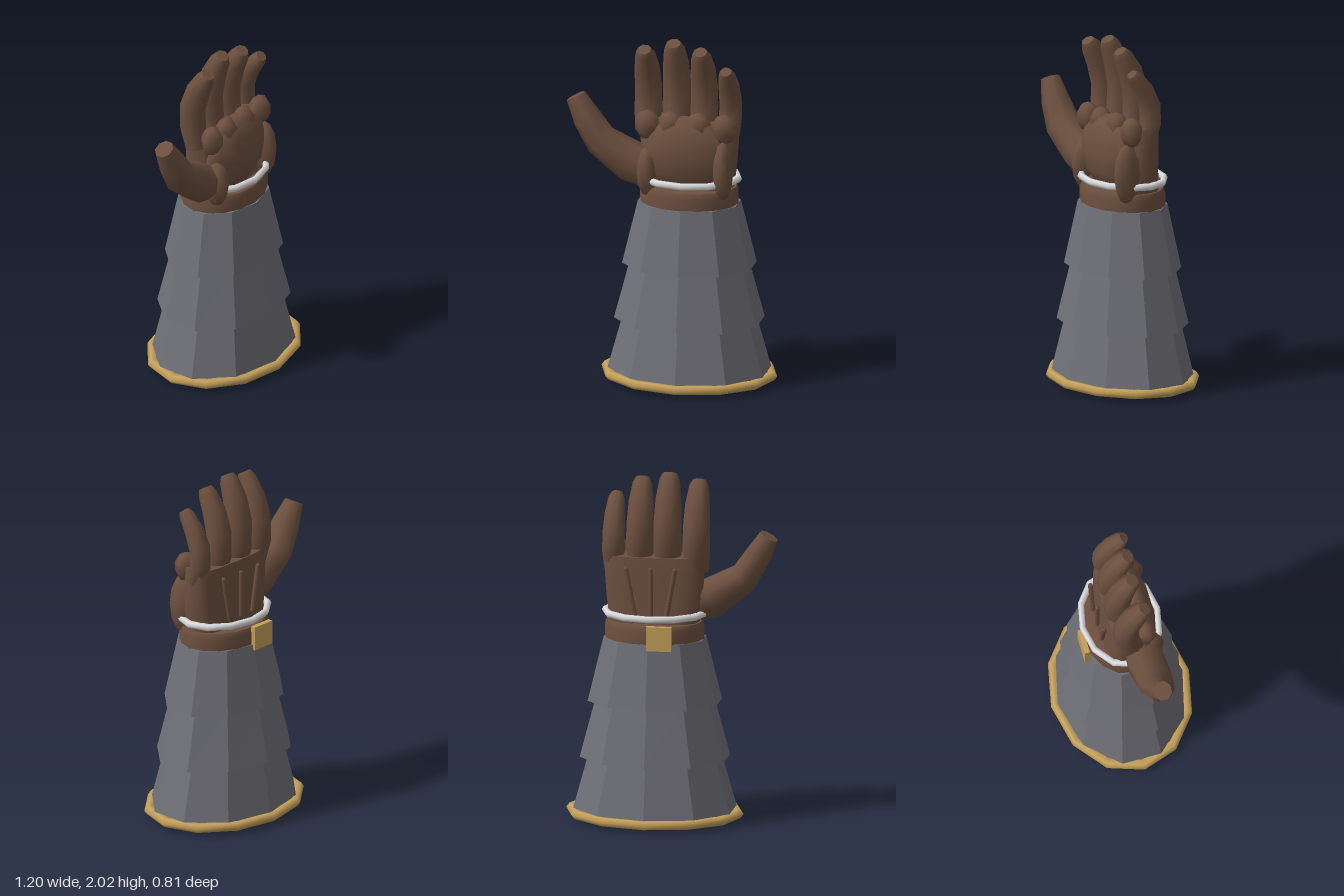
import * as THREE from 'three';

const mat = (name, color) => {
  const m = new THREE.MeshStandardMaterial({ color });
  m.name = name;
  return m;
};

// Capped loft: each ring is [x, y, z, half width, half depth], set square to the path.
function loft(rings, sides, { phase = 0, power = 1, flat = false } = {}) {
  const pos = [], idx = [];
  const centres = rings.map(r => new THREE.Vector3(r[0], r[1], r[2]));
  const round = v => Math.sign(v) * Math.abs(v) ** power;
  const loops = rings.map((r, i) => {
    const t = centres[Math.min(i + 1, rings.length - 1)].clone().sub(centres[Math.max(i - 1, 0)]).normalize();
    const a = t.clone().cross(new THREE.Vector3(0, 0, 1)).normalize();
    const b = a.clone().cross(t);
    return Array.from({ length: sides }, (_, j) => {
      const ang = phase + j / sides * Math.PI * 2;
      return centres[i].clone().addScaledVector(a, r[3] * round(Math.cos(ang))).addScaledVector(b, r[4] * round(Math.sin(ang)));
    });
  });
  const add = v => { pos.push(v.x, v.y, v.z); return pos.length / 3 - 1; };
  loops.forEach(loop => loop.forEach(add));
  for (let i = 0; i < rings.length - 1; i++) {
    for (let j = 0; j < sides; j++) {
      const k = (j + 1) % sides, p = i * sides, q = p + sides;
      idx.push(p + j, q + j, p + k, p + k, q + j, q + k);
    }
  }
  // Caps have their own vertices so their edges stay sharp
  [0, rings.length - 1].forEach((i, end) => {
    const c = add(centres[i]);
    const s = loops[i].map(add);
    for (let j = 0; j < sides; j++) {
      const k = (j + 1) % sides;
      if (end) idx.push(c, s[k], s[j]); else idx.push(c, s[j], s[k]);
    }
  });
  let g = new THREE.BufferGeometry();
  g.setAttribute('position', new THREE.Float32BufferAttribute(pos, 3));
  g.setIndex(idx);
  if (flat) g = g.toNonIndexed();
  g.computeVertexNormals();
  return g;
}

export function createModel() {
  const group = new THREE.Group();
  const leather = mat('brown leather', 0x6d503f);
  const steel = mat('grey steel', 0x6f6f77);
  const gold = mat('gold', 0xc4a05a);
  const silver = mat('silver white', 0xdcdcde);
  const lining = mat('dark lining', 0x0d0b2c);
  const CX = 0.09;

  const part = (name, geometry, material, p = [0, 0, 0], s = [1, 1, 1]) => {
    const m = new THREE.Mesh(geometry, material);
    m.name = name;
    m.position.set(...p);
    m.scale.set(...s);
    group.add(m);
    return m;
  };
  const hoop = (name, material, y, rx, rz, tube, height) => {
    const g = new THREE.TorusGeometry(1, tube, 6, 12);
    g.rotateX(Math.PI / 2).rotateY(Math.PI / 2);
    return part(name, g, material, [CX, y, 0], [rx, height / tube, rz]);
  };
  const pad = (name, p, s, w = 8, h = 6) => part(name, new THREE.SphereGeometry(1, w, h), leather, p, s);

  // Overlapping forearm plates: bottom y, radii, top y, radii
  [
    [0.05, 0.478, 0.372, 0.38, 0.385, 0.3],
    [0.365, 0.435, 0.345, 0.70, 0.345, 0.27],
    [0.69, 0.389, 0.305, 1.06, 0.298, 0.233],
  ].forEach(([y0, x0, z0, y1, x1, z1]) => part('forearmPlate',
    loft([[CX, y0, 0, x0, z0], [CX, y1, 0, x1, z1]], 10, { phase: Math.PI / 2, flat: true }), steel));

  // Hem and lining at the open end
  hoop('hemRing', gold, 0.045, 0.475, 0.378, 0.075, 0.027);
  part('cuffLining', new THREE.SphereGeometry(1, 12, 8), lining, [CX, 0.045, 0], [0.4, 0.045, 0.315]);

  // Wrist band, bracelet and buckle
  part('wristBand', loft([[CX, 1.04, 0, 0.285, 0.222], [CX, 1.13, 0, 0.287, 0.224], [CX, 1.16, 0, 0.275, 0.21]], 16), leather);
  hoop('bracelet', silver, 1.205, 0.283, 0.219, 0.08, 0.021);
  part('buckle', new THREE.BoxGeometry(0.145, 0.14, 0.03), gold, [0.025, 1.1, -0.232]);

  // Palm and its pads
  part('palm', loft([
    [CX, 1.13, 0, 0.255, 0.14], [CX, 1.27, -0.005, 0.275, 0.115],
    [CX, 1.45, -0.008, 0.288, 0.105], [CX, 1.54, -0.01, 0.285, 0.095],
  ], 16, { power: 0.65 }), leather);
  pad('palmPad', [0.085, 1.36, 0.08], [0.265, 0.225, 0.105], 10, 6);
  pad('thumbPad', [-0.13, 1.25, 0.11], [0.065, 0.145, 0.085]);
  pad('heelPad', [0.31, 1.28, 0.115], [0.06, 0.175, 0.085]);

  // Tendons over the back of the hand
  [[0.0, -0.05], [0.09, 0.09], [0.18, 0.235]].forEach(([x0, x1]) => {
    const path = new THREE.Vector3(x1 - x0, 0.29, 0);
    const t = part('tendon', new THREE.CapsuleGeometry(0.014, path.length() - 0.028, 2, 6), leather,
      [(x0 + x1) / 2, 1.345, -0.134]);
    t.quaternion.setFromUnitVectors(new THREE.Vector3(0, 1, 0), path.normalize());
  });

  // Fingers curling gently forward: x, tip height, width, tip z
  [
    [-0.155, 1.96, 0.08, 0.08],
    [0.01, 2.0, 0.083, 0.055],
    [0.17, 1.965, 0.08, 0.075],
    [0.322, 1.865, 0.066, 0.095],
  ].forEach(([x, top, w, zt]) => {
    const h = top - 1.46;
    // fraction of length, sideways offset, width factor
    const rings = [[0, 0.9], [0.25, 1], [0.5, 0.98], [0.75, 0.9], [0.94, 0.72], [1, 0.5]].map(([f, k]) =>
      [x, 1.46 + h * f, -0.005 - 0.05 * Math.sin(f * Math.PI) + zt * f * f, w * k, w * k * 0.95]);
    part('finger', loft(rings, 8, { phase: Math.PI / 8 }), leather);
    pad('knucklePad', [x < 0 ? -0.135 : x - 0.01, 1.52, 0.085], [0.076, 0.088, 0.062], 6, 5);
  });

  // Bent thumb
  part('thumb', loft([
    [-0.14, 1.25, 0.055, 0.11, 0.1], [-0.23, 1.285, 0.06, 0.12, 0.113], [-0.41, 1.405, 0.07, 0.093, 0.105],
    [-0.49, 1.535, 0.07, 0.08, 0.085], [-0.555, 1.655, 0.065, 0.058, 0.055],
  ], 8, { phase: Math.PI / 8 }), leather);

  return group;
}
